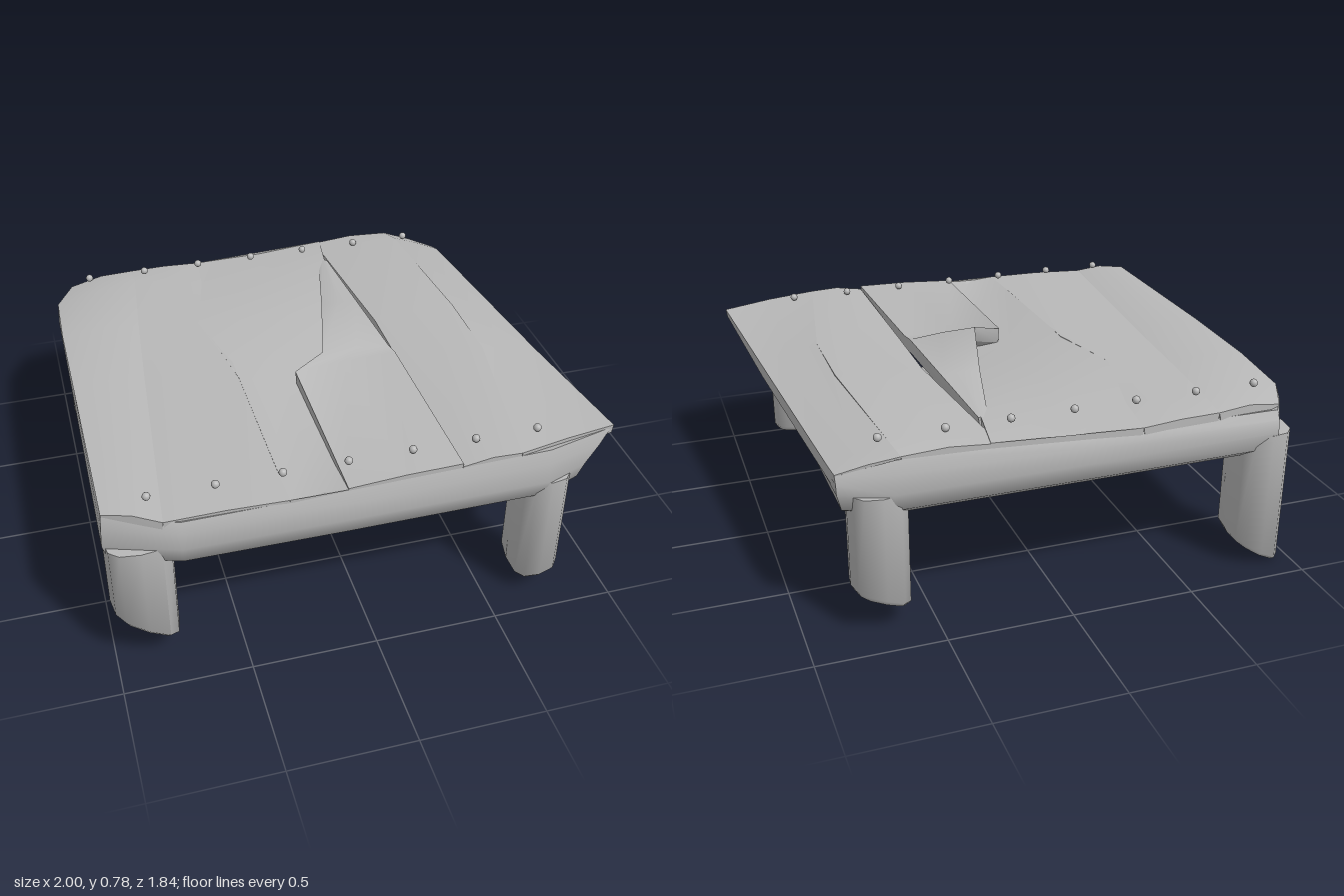
import * as THREE from 'three';
import { toCreasedNormals } from 'three/addons/utils/BufferGeometryUtils.js';

const wood = new THREE.MeshStandardMaterial({ color: 0xb8b8b8, side: THREE.DoubleSide });
wood.name = 'weathered grey';

// Skin a list of equal-length rings; either capped at both ends or closed into a loop
function loft(name, rings, crease = 0.9, loop = false) {
  const n = rings[0].length, m = rings.length, index = [];
  for (let i = 0; i < (loop ? m : m - 1); i++) {
    const k = (i + 1) % m;
    for (let j = 0; j < n; j++) {
      const l = (j + 1) % n;
      index.push(i * n + j, i * n + l, k * n + l, i * n + j, k * n + l, k * n + j);
    }
  }
  if (!loop) {
    const e = (m - 1) * n;
    for (let j = 1; j < n - 1; j++) index.push(0, j + 1, j, e, e + j, e + j + 1);
  }
  const g = new THREE.BufferGeometry();
  g.setAttribute('position', new THREE.Float32BufferAttribute(rings.flat(2), 3));
  g.setIndex(index);
  const mesh = new THREE.Mesh(toCreasedNormals(g, crease), wood);
  mesh.name = name;
  return mesh;
}

const mix = (a, b, t) => a + (b - a) * t;

// Rounded-square leg; b holds the bottom heights at (x0,z0) (x1,z0) (x0,z1) (x1,z1)
function leg(name, x0, x1, z0, z1, b) {
  const ring = (low, size) => Array.from({ length: 12 }, (_, i) => {
    const a = (i / 12) * Math.PI * 2, c = Math.cos(a), s = Math.sin(a);
    const u = 0.5 + 0.5 * size * Math.sign(c) * Math.abs(c) ** 0.7;
    const v = 0.5 + 0.5 * size * Math.sign(s) * Math.abs(s) ** 0.7;
    const y = low ? mix(mix(b[0], b[1], u), mix(b[2], b[3], u), v) : 0.56;
    return [mix(x0, x1, u), y + (size === 1 ? 0.02 : 0), mix(z0, z1, v)];
  });
  return loft(name, [ring(false, 1), ring(true, 1), ring(true, 0.88)], 1.1);
}

// Warped board: each station is [left x, y, z, right x, y, z], front to back
function plank(name, stations, crown = 0.005) {
  const last = stations.length - 1;
  return loft(name, stations.map(([xl, yl, zl, xr, yr, zr], i) => {
    const thick = i === 0 || i === last ? 0.035 : 0.065;
    const xm = mix(xl, xr, 0.5), ym = mix(yl, yr, 0.5), zm = mix(zl, zr, 0.5);
    return [
      [xl, yl, zl],
      [xm, ym + crown, zm],
      [xr, yr, zr],
      [xr - 0.005, yr - thick, zr],
      [xm, ym - thick * 1.35, zm],
      [xl + 0.005, yl - thick, zl],
    ];
  }), 0.9);
}

export function createModel() {
  const model = new THREE.Group();
  model.name = 'roughPlatform';

  // Round log frame with clipped corners: inner xz, outer xz, upper outer xz, top height
  const stops = [
    [0.62, 0.65, 0.88, 0.85, 0.99, 0.815, 0.72],
    [0.6, 0.67, 0.7, 0.918, 0.7, 0.9, 0.735],
    [-0.1, 0.67, -0.1, 0.92, -0.1, 0.9, 0.715],
    [-0.72, 0.67, -0.72, 0.915, -0.72, 0.895, 0.705],
    [-0.74, 0.65, -1, 0.82, -0.99, 0.81, 0.72],
    [-0.76, -0.65, -0.985, -0.74, -0.975, -0.72, 0.69],
    [-0.74, -0.67, -0.88, -0.91, -0.88, -0.885, 0.68],
    [-0.1, -0.67, -0.1, -0.918, -0.1, -0.9, 0.695],
    [0.56, -0.67, 0.66, -0.918, 0.65, -0.9, 0.72],
    [0.6, -0.65, 0.855, -0.85, 0.855, -0.83, 0.655],
  ];
  const section = [
    [0, 0.6], [0.1, 0.52], [0.32, 0.48], [0.7, 0.48], [0.93, 0.52], [1, 0.59],
  ];
  model.add(loft('frame', stops.map(([ix, iz, ox, oz, tx, tz, ty]) => [
    ...section.map(([t, y]) => [mix(ix, ox, t), y, mix(iz, oz, t)]),
    [mix(ox, tx, 0.5), mix(0.59, ty, 0.6), mix(oz, tz, 0.2)],
    [tx, ty, tz],
    [mix(ix, tx, 0.5), ty - 0.03, mix(iz, tz, 0.5)],
    [mix(ix, ox, 0.1), 0.64, mix(iz, oz, 0.1)],
  ]), 1, true));

  // Cross beam under the deck
  const beamRing = (x) => Array.from({ length: 10 }, (_, i) => {
    const a = (i / 10) * Math.PI * 2;
    return [x, 0.57 + 0.09 * Math.sin(a), 0.1 * Math.cos(a)];
  });
  model.add(loft('crossBeam', [beamRing(0.78), beamRing(-0.86)]));

  // Four corner legs and the middle one, cut off unevenly
  model.add(
    leg('frontLeftLeg', 0.62, 0.82, 0.68, 0.915, [0.12, 0.14, 0.06, 0.09]),
    leg('frontRightLeg', -0.995, -0.74, 0.67, 0.89, [0.27, 0.1, 0.25, 0.08]),
    leg('backLeftLeg', 0.59, 0.81, -0.915, -0.66, [0.09, 0.18, 0.07, 0.13]),
    leg('backRightLeg', -0.97, -0.75, -0.91, -0.67, [-0.04, 0.1, 0.08, 0.12]),
    leg('middleLeg', -0.16, 0.04, -0.12, 0.09, [0.1, 0.14, 0.05, 0.12]),
  );

  // Deck boards
  model.add(
    plank('plank1', [
      [-0.99, 0.73, 0.81, -0.78, 0.71, 0.885], [-0.99, 0.73, 0, -0.7, 0.71, 0],
      [-0.99, 0.72, -0.4, -0.66, 0.72, -0.4], [-0.98, 0.7, -0.7, -0.62, 0.73, -0.76],
      [-0.9, 0.69, -0.86, -0.62, 0.71, -0.895]], 0.015),
    plank('plank2', [
      [-0.78, 0.71, 0.885, -0.32, 0.72, 0.9], [-0.7, 0.71, 0, -0.33, 0.73, 0],
      [-0.66, 0.72, -0.4, -0.41, 0.73, -0.33], [-0.62, 0.73, -0.76, -0.32, 0.71, -0.7],
      [-0.62, 0.71, -0.895, -0.3, 0.7, -0.905]]),
    plank('plank3', [
      [-0.32, 0.72, 0.9, -0.08, 0.72, 0.9], [-0.325, 0.725, 0.66, -0.07, 0.68, 0.66],
      [-0.33, 0.73, 0.12, 0.06, 0.66, 0.12], [-0.36, 0.73, -0.08, 0.14, 0.68, -0.08],
      [-0.41, 0.73, -0.33, 0.18, 0.71, -0.33], [-0.32, 0.71, -0.7, 0.27, 0.74, -0.7],
      [-0.3, 0.7, -0.905, 0.3, 0.73, -0.9]], -0.01),
    plank('plank4', [
      [-0.1, 0.725, 0.9, 0.345, 0.745, 0.9], [-0.1, 0.74, 0.15, 0.33, 0.76, 0.15],
      [0.03, 0.78, 0.1, 0.32, 0.76, 0.1], [0.14, 0.75, -0.3, 0.3, 0.75, -0.3],
      [0.24, 0.73, -0.7, 0.28, 0.74, -0.7]]),
    plank('plank5', [
      [0.345, 0.73, 0.9, 0.58, 0.745, 0.9], [0.34, 0.73, 0.2, 0.7, 0.75, 0.2],
      [0.34, 0.73, -0.15, 0.7, 0.75, -0.15], [0.28, 0.73, -0.8, 0.65, 0.75, -0.8],
      [0.28, 0.725, -0.9, 0.63, 0.73, -0.9]], 0.012),
    plank('plank6', [
      [0.58, 0.745, 0.9, 1, 0.73, 0.815], [0.7, 0.75, 0.2, 0.945, 0.7, 0.2],
      [0.65, 0.75, -0.8, 0.865, 0.67, -0.78], [0.63, 0.73, -0.9, 0.855, 0.66, -0.83]]),
  );

  // Two rows of round nail heads
  const nailGeometry = new THREE.SphereGeometry(0.016, 12, 8);
  for (const z of [-0.79, 0.79]) {
    for (let i = 0; i < 7; i++) {
      const nail = new THREE.Mesh(nailGeometry, wood);
      nail.name = 'nail';
      nail.position.set(-0.82 + i * 0.251, 0.763, z);
      model.add(nail);
    }
  }
  return model;
}
